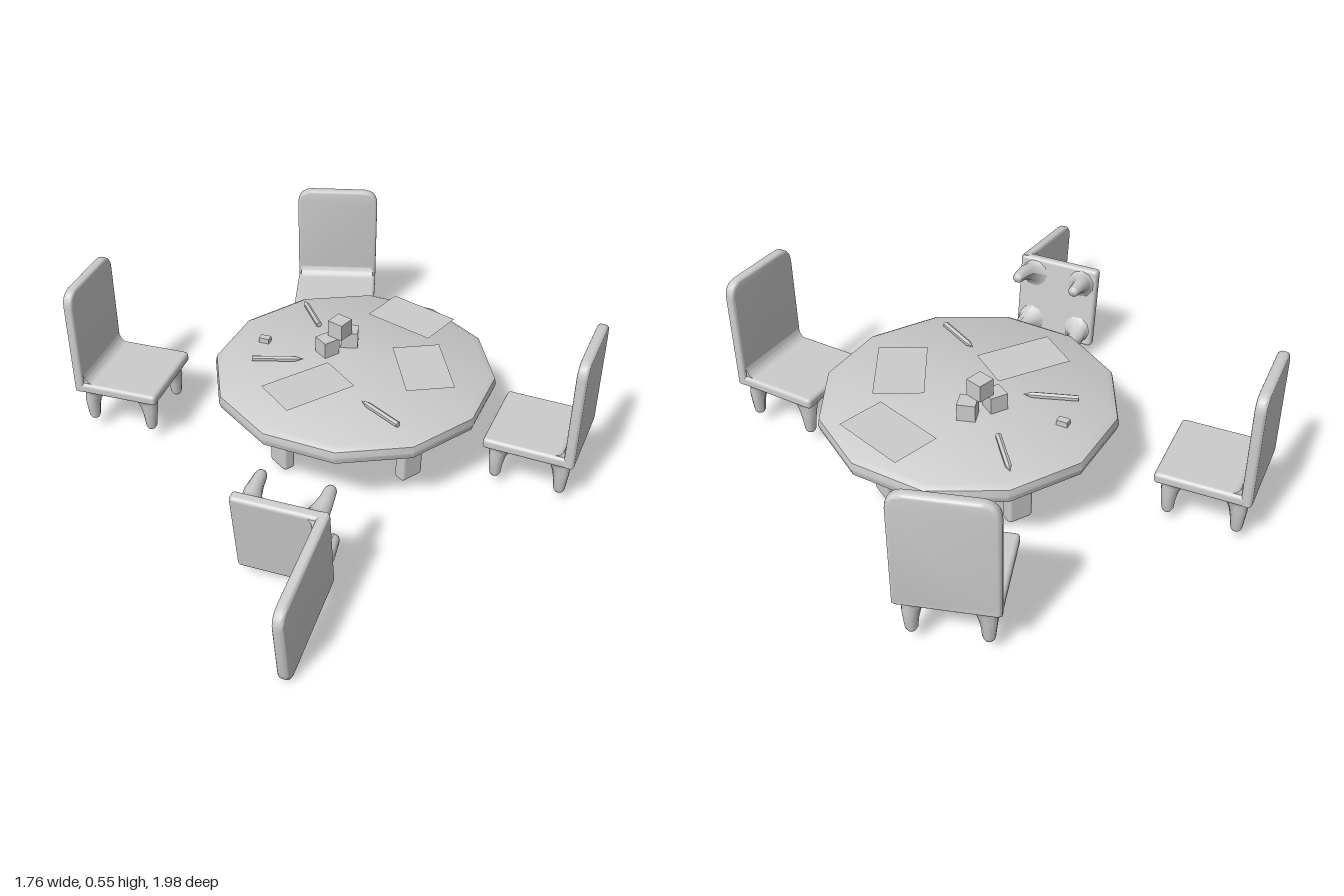
import * as THREE from 'three';
import { toCreasedNormals } from 'three/addons/utils/BufferGeometryUtils.js';
import { RoundedBoxGeometry } from 'three/addons/geometries/RoundedBoxGeometry.js';

const material = new THREE.MeshStandardMaterial({ color: 0xcccccc });
const thin = new THREE.MeshStandardMaterial({ color: 0xcccccc, side: THREE.DoubleSide });

function add(parent, name, geometry, x = 0, y = 0, z = 0, turn = 0, mat = material) {
  const mesh = new THREE.Mesh(geometry, mat);
  mesh.name = name;
  mesh.position.set(x, y, z);
  mesh.rotation.y = turn;
  parent.add(mesh);
  return mesh;
}

const lathe = (points, sides) =>
  new THREE.LatheGeometry(points.map(([x, y]) => new THREE.Vector2(x, y)), sides);

// Chair facing +z, with its centre on the y axis
function createChair() {
  const chair = new THREE.Group();
  chair.name = 'chair';
  add(chair, 'seat', new RoundedBoxGeometry(0.3, 0.038, 0.3, 3, 0.013), 0, 0.183, 0);

  // Back panel with rounded top corners and soft edges
  const b = 0.01, w = 0.15 - b, top = 0.555 - b, r = 0.045;
  const panel = new THREE.Shape();
  panel.moveTo(-w, 0.18);
  panel.lineTo(w, 0.18);
  panel.lineTo(w, top - r);
  panel.quadraticCurveTo(w, top, w - r, top);
  panel.lineTo(-w + r, top);
  panel.quadraticCurveTo(-w, top, -w, top - r);
  panel.closePath();
  const back = new THREE.ExtrudeGeometry(panel, {
    depth: 0.014, bevelThickness: b, bevelSize: b, bevelSegments: 3, curveSegments: 6,
  });
  add(chair, 'backrest', toCreasedNormals(back, 0.7), 0, 0, -0.14);

  // Curved fillet between seat and back
  const cove = new THREE.Shape();
  cove.moveTo(0, 0);
  cove.lineTo(0.035, 0);
  cove.quadraticCurveTo(0.005, 0.005, 0, 0.045);
  cove.closePath();
  const fillet = new THREE.ExtrudeGeometry(cove, { depth: 0.28, bevelEnabled: false });
  fillet.translate(0, 0, -0.14).rotateY(-Math.PI / 2);
  add(chair, 'seatFillet', toCreasedNormals(fillet, 0.7), 0, 0.2, -0.118);

  // Tapered legs that flare into the seat
  const leg = lathe([[0, 0.04], [0.014, 0.042], [0.019, 0.052], [0.023, 0.09],
    [0.028, 0.12], [0.034, 0.145], [0.046, 0.162], [0.06, 0.17]], 10);
  // lean the flare towards the seat centre
  leg.translate(-0.108, 0, -0.108);
  const p = leg.attributes.position;
  for (let i = 0; i < p.count; i++) {
    const lean = Math.max(0, (p.getY(i) - 0.1) / 0.07) ** 2 * 0.02;
    p.setXYZ(i, p.getX(i) + lean, p.getY(i), p.getZ(i) + lean);
  }
  leg.computeVertexNormals();
  for (let i = 0; i < 4; i++) add(chair, 'chairLeg', leg, 0, 0, 0, i * Math.PI / 2);
  return chair;
}

function createTable() {
  const table = new THREE.Group();
  table.name = 'table';
  table.position.set(0.065, 0, -0.195);
  add(table, 'tableTop', toCreasedNormals(lathe([[0, 0.232], [0.452, 0.232], [0.47, 0.24],
    [0.477, 0.262], [0.472, 0.284], [0.452, 0.296], [0, 0.298]], 12), 0.6));
  add(table, 'apron', toCreasedNormals(lathe([[0, 0.212], [0.31, 0.212], [0.34, 0.218],
    [0.365, 0.235]], 12), 0.6));
  const leg = new RoundedBoxGeometry(0.085, 0.22, 0.045, 3, 0.012);
  for (const sx of [-1, 1]) for (const sz of [-1, 1])
    add(table, 'tableLeg', leg, sx * 0.212, 0.122, sz * 0.212, Math.atan2(sx, sz));
  return table;
}

// Hexagonal pencil lying from its tip to its end
function createPencil(tipX, tipZ, endX, endZ) {
  const dx = tipX - endX, dz = tipZ - endZ, length = Math.hypot(dx, dz);
  const shape = lathe([[0, 0], [0.01, 0], [0.01, length - 0.028], [0, length]], 6);
  shape.rotateX(Math.PI / 2);
  const pencil = new THREE.Group();
  pencil.name = 'pencil';
  add(pencil, 'pencilBody', toCreasedNormals(shape, 0.4), endX, 0.309, endZ, Math.atan2(dx, dz));
  return pencil;
}

export function createModel() {
  const model = new THREE.Group();
  model.name = 'tableSet';
  model.add(createTable());

  // Upright chairs: x, z and the direction each faces
  const places = [[-0.715, -0.202, 0.987, 0.16], [0.694, -0.071, -0.966, -0.26],
    [-0.087, -0.835, 0.083, 0.996]];
  for (const [x, z, fx, fz] of places) {
    const chair = createChair();
    chair.position.set(x, 0, z);
    chair.rotation.y = Math.atan2(fx, fz);
    model.add(chair);
  }

  // Chair tipped over on its side
  const fallen = createChair();
  fallen.name = 'fallenChair';
  const up = new THREE.Vector3(-0.19, -0.13, 0.97).normalize();
  const side = new THREE.Vector3().crossVectors(up, new THREE.Vector3(-0.98, 0, -0.2)).normalize();
  const front = new THREE.Vector3().crossVectors(side, up);
  fallen.quaternion.setFromRotationMatrix(new THREE.Matrix4().makeBasis(side, up, front));
  fallen.position.set(-0.01, 0.215, 0.405);
  model.add(fallen);

  // Sheets of paper
  const sheet = new THREE.PlaneGeometry(0.255, 0.16).rotateX(-Math.PI / 2);
  for (const [x, z, turn] of [[0.232, -0.48, -0.53], [0.298, -0.17, -1.3], [-0.063, -0.008, 0.71]])
    add(model, 'paper', sheet, x, 0.322, z, turn, thin);

  // Pencils and eraser
  model.add(createPencil(-0.162, -0.552, -0.085, -0.4));
  model.add(createPencil(-0.105, -0.18, -0.277, -0.158));
  model.add(createPencil(0.117, 0.03, 0.245, 0.14));
  add(model, 'eraser', new THREE.BoxGeometry(0.036, 0.018, 0.024), -0.256, 0.307, -0.284, -0.2);

  // Stack of toy blocks
  const block = new THREE.BoxGeometry(0.058, 0.058, 0.058);
  add(model, 'block', block, -0.034, 0.326, -0.25, 0.75);
  add(model, 'block', block, 0.034, 0.326, -0.315, 0.08);
  add(model, 'block', block, 0.005, 0.384, -0.277, 1.05);
  return model;
}
